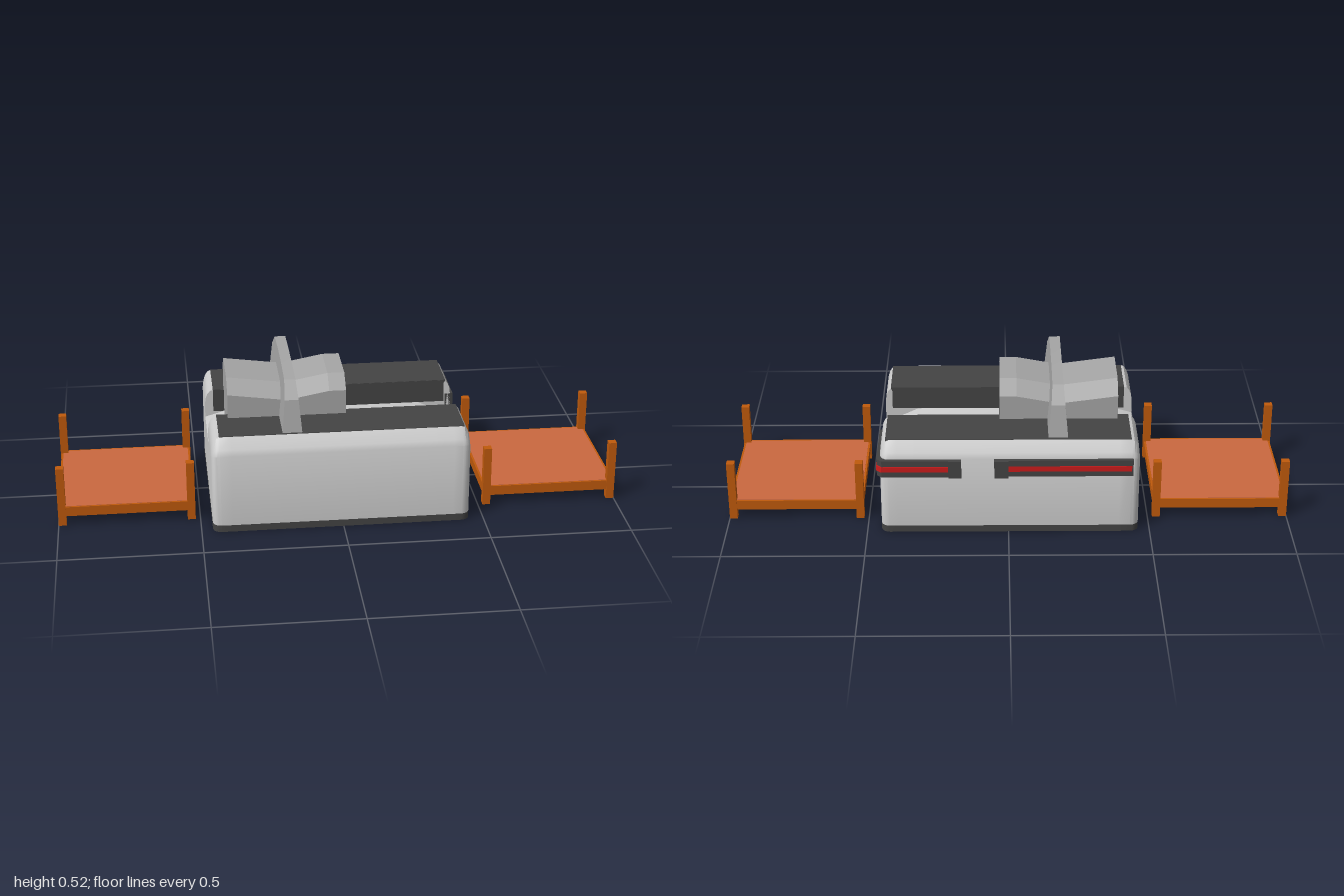
import * as THREE from 'three';
import { toCreasedNormals } from 'three/addons/utils/BufferGeometryUtils.js';

const mat = (color) => new THREE.MeshStandardMaterial({ color });
const grey = mat(0xcccccc), midGrey = mat(0xa6a6a6), dark = mat(0x444444);
const red = mat(0xcc1c1c), orange = mat(0xc05a0c), coral = mat(0xcb6840);

function add(parent, name, geometry, material) {
  const mesh = new THREE.Mesh(geometry, material);
  mesh.name = name;
  parent.add(mesh);
  return mesh;
}

// Box given by its extents on each axis
function box(parent, name, x0, x1, y0, y1, z0, z1, material) {
  const g = new THREE.BoxGeometry(x1 - x0, y1 - y0, z1 - z0);
  g.translate((x0 + x1) / 2, (y0 + y1) / 2, (z0 + z1) / 2);
  return add(parent, name, g, material);
}

// Sweeps a [z, y] profile through stations along x; rule(p) may then shift each point
function sweep(profile, stations, rule, crease = 0.5) {
  const shape = new THREE.Shape(profile.map(([z, y]) => new THREE.Vector2(-z, y)));
  const n = stations.length - 1;
  const g = new THREE.ExtrudeGeometry(shape, { depth: 1, steps: n, bevelEnabled: false });
  const pos = g.attributes.position, p = new THREE.Vector3();
  for (let i = 0; i < pos.count; i++) {
    p.set(stations[Math.round(pos.getZ(i) * n)], pos.getY(i), -pos.getX(i));
    if (rule) rule(p);
    pos.setXYZ(i, p.x, p.y, p.z);
  }
  return toCreasedNormals(g, crease);
}

// Amount of corner rounding (0 inside, 1 at the very end) for an x position
const endRound = (x) => {
  const u = THREE.MathUtils.clamp((Math.abs(x + 0.005) - 0.425) / 0.03, 0, 1);
  return 1 - Math.sqrt(1 - u * u);
};
const bodyStations = [-0.46, -0.457, -0.45, -0.44, -0.43, -0.39, 0.33, 0.39, 0.42, 0.43, 0.44, 0.447, 0.45];

function roundEnds(p) {
  const e = endRound(p.x);
  if (p.z > 0.2) p.z -= 0.03 * e;
  if (p.z < -0.2) p.z += 0.03 * e;
  if (p.y > 0.27) p.y -= 0.055 * e * (p.y - 0.27) / 0.075;
  // Channel floor falls away at both ends
  if (Math.abs(p.y - 0.26) < 0.001) {
    if (p.x > 0.33) p.y -= 0.055 * (p.x - 0.33) / 0.12;
    if (p.x < -0.39) p.y -= 0.02 * (-0.39 - p.x) / 0.07;
  }
}

function buildBody(root) {
  const body = new THREE.Group();
  body.name = 'body';
  root.add(body);
  add(body, 'housing', sweep([
    [0.355, 0.025], [0.355, 0.29], [0.345, 0.31], [0.315, 0.345],
    [0.125, 0.345], [0.125, 0.26], [-0.105, 0.26], [-0.105, 0.345],
    [-0.295, 0.345], [-0.325, 0.31], [-0.335, 0.29], [-0.335, 0.025],
  ], bodyStations, roundEnds), grey);
  add(body, 'basePlinth', sweep([
    [0.355, 0], [0.355, 0.025], [-0.335, 0.025], [-0.335, 0],
  ], bodyStations, roundEnds), dark);

  // Dark top panels folding down into the channel
  for (const [z0, z1, wall] of [[0.122, 0.31, 0.122], [-0.295, -0.102, -0.106]]) {
    box(body, 'topPanel', -0.43, 0.43, 0.34, 0.347, z0, z1, dark);
    box(body, 'channelLiner', -0.43, 0.425, 0.262, 0.346, wall, wall + 0.005, dark);
  }
}

function buildTrim(root) {
  const trim = new THREE.Group();
  trim.name = 'trimStrips';
  root.add(trim);
  // Back strips with end blocks
  box(trim, 'backStrip', -0.435, 0.01, 0.228, 0.29, -0.348, -0.325, dark);
  box(trim, 'backStripLight', -0.43, 0.005, 0.248, 0.268, -0.35, -0.34, red);
  box(trim, 'backStripEnd', 0.0, 0.05, 0.225, 0.29, -0.355, -0.325, dark);
  box(trim, 'cornerStripEnd', 0.165, 0.21, 0.225, 0.29, -0.355, -0.325, dark);
  // Strip wrapping round the back corner on to the end
  const outline = (x1, z1, c, zEnd) => new THREE.Shape([
    [0.2, 0.325], [0.2, z1], [x1 - c, z1], [x1, z1 - c], [x1, zEnd], [0.43, zEnd], [0.43, 0.325],
  ].map(([x, z]) => new THREE.Vector2(x, z)));
  const wrap = (name, shape, y0, y1, material) => {
    const g = new THREE.ExtrudeGeometry(shape, { depth: y1 - y0, bevelEnabled: false });
    g.rotateX(-Math.PI / 2).translate(0, y0, 0);
    add(trim, name, g, material);
  };
  wrap('cornerStrip', outline(0.46, 0.35, 0.018, 0.105), 0.227, 0.29, dark);
  wrap('cornerStripLight', outline(0.462, 0.352, 0.018, 0.115), 0.248, 0.268, red);
  // Wedge below the strip beside the channel
  add(trim, 'stripWedge', sweep([[-0.105, 0.175], [-0.105, 0.23], [-0.2, 0.23]], [0.43, 0.454]), dark);
  // Low strip on the end
  box(trim, 'endStrip', 0.44, 0.463, 0.1, 0.14, -0.105, 0.125, dark);
  box(trim, 'endStripLight', 0.455, 0.465, 0.115, 0.127, -0.08, 0.1, red);
}

function buildScanner(root) {
  const scanner = new THREE.Group();
  scanner.name = 'scanner';
  root.add(scanner);
  // Arch plate, thinner towards the top
  add(scanner, 'arch', sweep([
    [0.305, 0.34], [0.28, 0.46], [0.215, 0.51], [0.08, 0.518],
    [-0.06, 0.518], [-0.195, 0.51], [-0.26, 0.46], [-0.285, 0.34],
  ], [-1, 1], (p) => {
    p.x = -0.174 + p.x * (0.035 - 0.016 * (p.y - 0.34) / 0.178);
  }, 0.3), midGrey);
  // Tunnel hoods, dipping towards the arch
  const hood = [
    [0.157, 0.25], [0.157, 0.435], [0.1, 0.48], [-0.08, 0.48], [-0.137, 0.435], [-0.137, 0.25],
  ];
  add(scanner, 'tunnelHood', sweep(hood, [-0.39, -0.18, -0.03, 0.03], (p) => {
    if (p.x === -0.18 && p.y > 0.4) p.y -= 0.028;
  }, 0.1), midGrey);
  box(scanner, 'tunnelOpening', 0.02, 0.032, 0.26, 0.39, -0.06, 0.08, dark);
}

function buildTable(root, name, x0, x1) {
  const table = new THREE.Group();
  table.name = name;
  root.add(table);
  const z0 = -0.235, z1 = 0.245, w = 0.028;
  box(table, 'tableTop', x0 + 0.01, x1 - 0.01, 0.055, 0.071, z0 + 0.01, z1 - 0.01, coral);
  box(table, 'tableUnderside', x0 + 0.01, x1 - 0.01, 0.036, 0.055, z0 + 0.01, z1 - 0.01, dark);
  for (const z of [z0 + 0.003, z1 - 0.015]) box(table, 'sideRail', x0 + 0.01, x1 - 0.01, 0.035, 0.07, z, z + 0.012, orange);
  for (const x of [x0 + 0.003, x1 - 0.015]) box(table, 'endRail', x, x + 0.012, 0.035, 0.07, z0 + 0.01, z1 - 0.01, orange);
  for (const x of [x0, x1 - w])
    for (const z of [z0, z1 - w]) box(table, 'post', x, x + w, 0, 0.22, z, z + w, orange);
}

export function createModel() {
  const root = new THREE.Group();
  root.name = 'scanningMachine';
  buildBody(root);
  buildTrim(root);
  buildScanner(root);
  buildTable(root, 'leftTable', 0.517, 1);
  buildTable(root, 'rightTable', -1, -0.517);
  return root;
}
